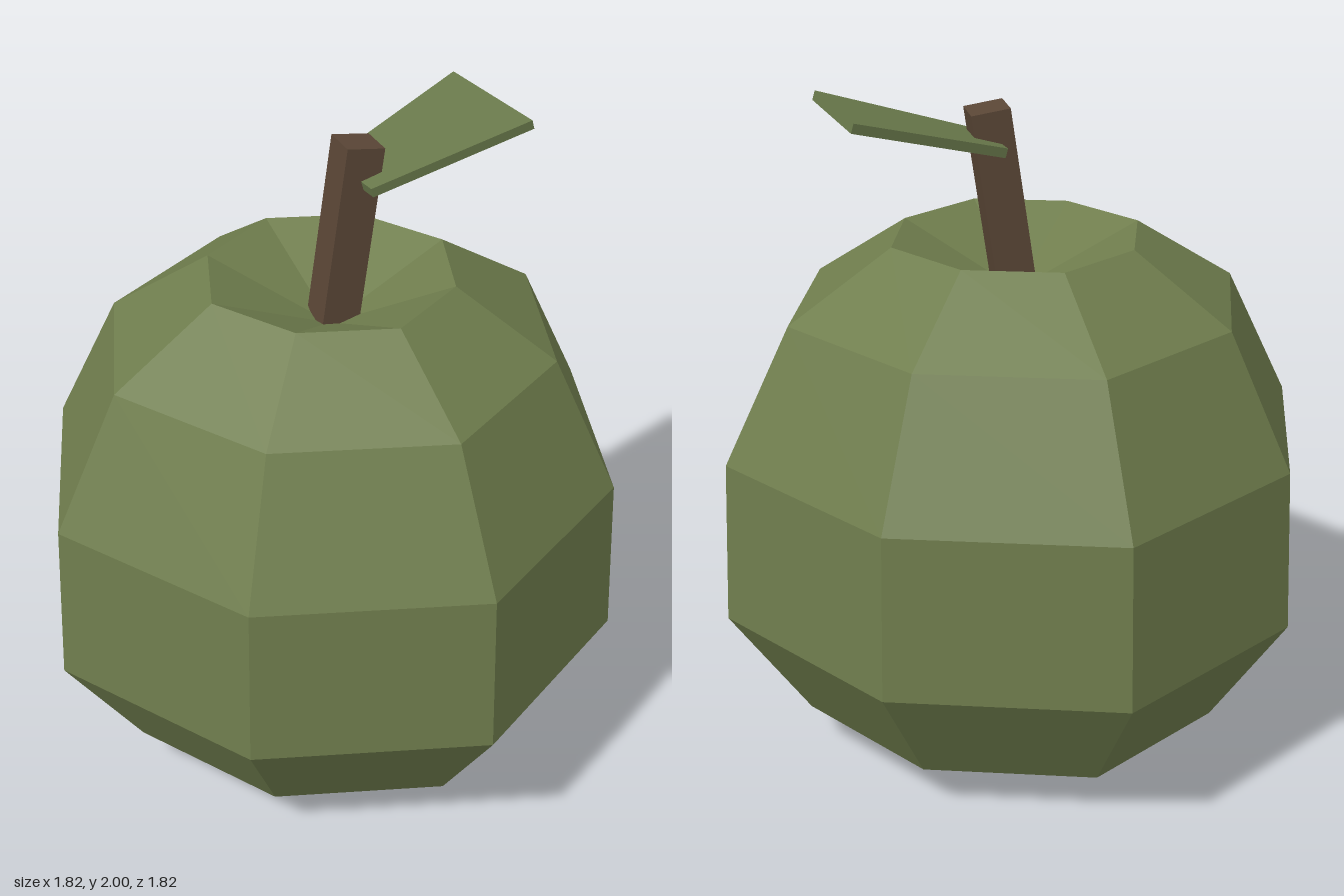
import * as THREE from 'three';

export function createModel() {
  const mat = (name, color) => {
    const m = new THREE.MeshStandardMaterial({ color, flatShading: true });
    m.name = name;
    return m;
  };
  const skin = mat('green skin', 0x6f7d4d);
  const leafGreen = mat('leaf green', 0x68784a);
  const bark = mat('brown bark', 0x5a4636);

  const group = new THREE.Group();
  group.name = 'apple';
  const add = (name, geometry, material) => {
    const mesh = new THREE.Mesh(geometry, material);
    mesh.name = name;
    group.add(mesh);
    return mesh;
  };

  // Eight-sided fruit with a flat base and a hollow at the top
  const profile = [
    [0, 0], [0.31, 0], [0.67, 0.14], [0.91, 0.49], [0.89, 0.98],
    [0.69, 1.38], [0.38, 1.58], [0, 1.41],
  ].map(([r, y]) => new THREE.Vector2(r, y));
  const fruitGeometry = new THREE.LatheGeometry(profile, 8);

  // Pull the diagonal corners in slightly
  const pos = fruitGeometry.attributes.position;
  for (let i = 0; i < pos.count; i++) {
    const x = pos.getX(i), z = pos.getZ(i);
    if (Math.abs(x * z) > 0.001) {
      pos.setX(i, x * 0.963);
      pos.setZ(i, z * 0.963);
    }
  }
  add('fruit', fruitGeometry, skin);

  // Square stem, leaning to the side and twisted a little
  const stemLength = 0.57;
  const stemGeometry = new THREE.BoxGeometry(0.114, stemLength, 0.114);
  stemGeometry.translate(0, -stemLength / 2, 0);
  stemGeometry.rotateY(-0.13);
  const stem = add('stem', stemGeometry, bark);
  stem.position.set(0.09, 1.96, 0);
  stem.rotation.z = -0.15;

  // Thin leaf that widens towards its tip
  const outline = new THREE.Shape([
    new THREE.Vector2(0, -0.11), new THREE.Vector2(0.486, -0.2),
    new THREE.Vector2(0.486, 0.2), new THREE.Vector2(0, 0.11),
  ]);
  const leafGeometry = new THREE.ExtrudeGeometry(outline, { depth: 0.028, bevelEnabled: false });
  leafGeometry.translate(0, 0, -0.014);
  leafGeometry.rotateX(-Math.PI / 2);
  const leaf = add('leaf', leafGeometry, leafGreen);
  leaf.position.set(0.07, 1.853, 0);
  leaf.rotation.z = 0.278;

  return group;
}
